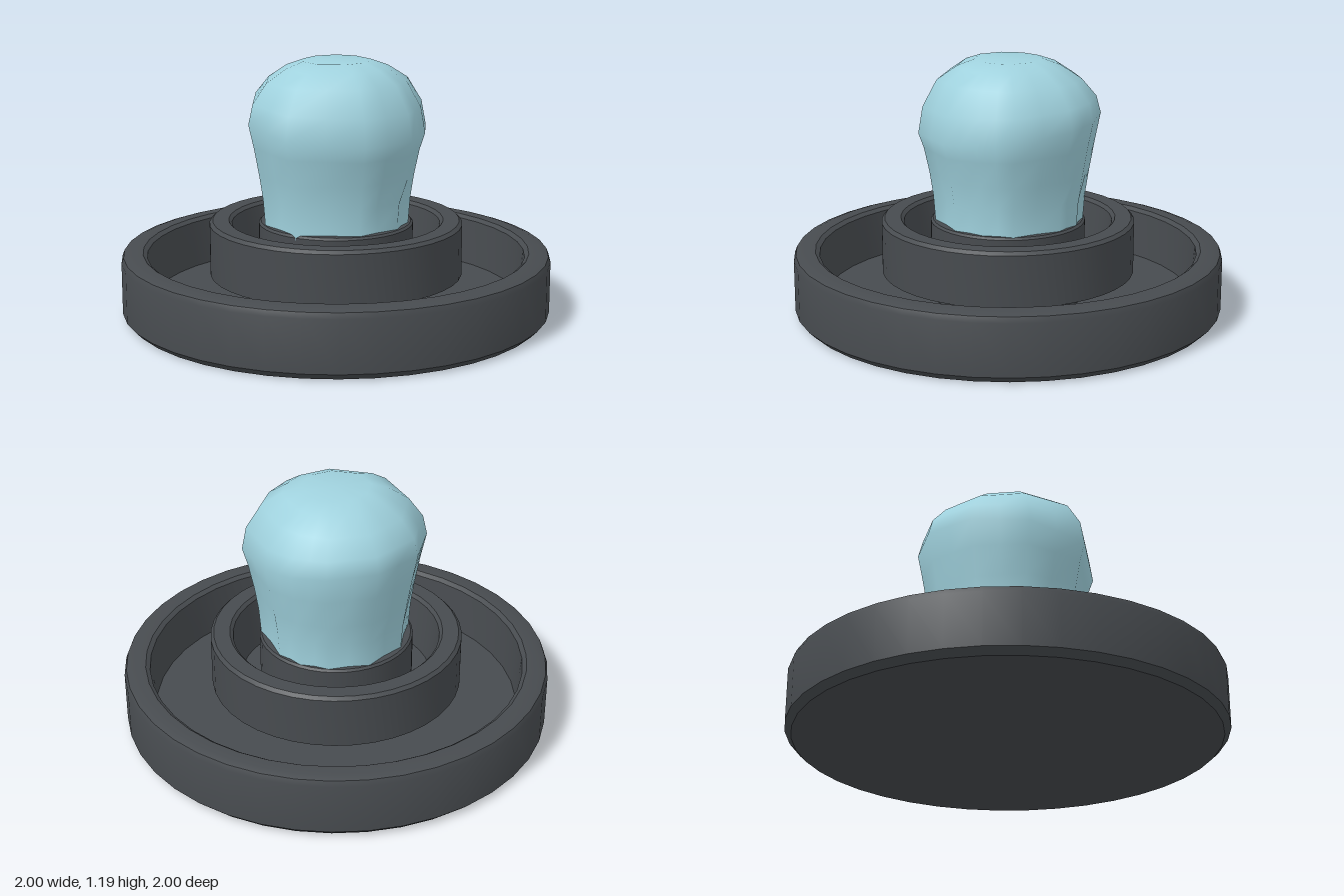
import * as THREE from 'three';
import { toCreasedNormals } from 'three/addons/utils/BufferGeometryUtils.js';

const charcoal = new THREE.MeshStandardMaterial({ color: 0x474b4f });
charcoal.name = 'charcoal';
const paleBlue = new THREE.MeshStandardMaterial({ color: 0xa0d2de });
paleBlue.name = 'paleBlue';

// Turned part from an [r, y] profile running outside-up, then inside-down
function turned(name, profile) {
  const points = profile.map(([r, y]) => new THREE.Vector2(r, y));
  const geometry = toCreasedNormals(new THREE.LatheGeometry(points, 40), 0.6);
  const mesh = new THREE.Mesh(geometry, charcoal);
  mesh.name = name;
  return mesh;
}

// Faceted knob: one irregular outline, scaled and tilted up a stack of rows
function knobGeometry() {
  const corners = [
    [0.39, 0.13], [0.17, 0.4], [-0.12, 0.4], [-0.33, 0.24], [-0.42, 0], [-0.36, -0.22],
    [-0.25, -0.34], [-0.11, -0.4], [0.17, -0.39], [0.3, -0.28], [0.39, -0.13],
  ];
  const outline = [];
  corners.forEach(([x, z], i) => {
    const [nx, nz] = corners[(i + 1) % corners.length];
    outline.push([x, z], [(x + nx) / 2, (z + nz) / 2]);
  });
  // y, scale, tilt along x, inward pull of the flutes
  const rows = [
    [0.2, 0.8, 0, 0], [0.45, 0.83, 0, 0.02], [0.56, 0.85, 0, 0.05], [0.67, 0.89, 0, 0],
    [0.8, 0.95, -0.04, 0], [0.9, 1.01, -0.12, 0], [1.0, 0.96, -0.06, 0], [1.1, 0.8, 0, 0],
    [1.16, 0.58, 0, 0], [1.19, 0.38, 0, 0], [1.19, 0, 0, 0],
  ];
  const n = outline.length;
  const positions = [];
  const index = [];
  rows.forEach(([y, scale, tilt, flute], i) => {
    outline.forEach(([x, z], j) => {
      const s = scale * (j % 2 ? 1 - flute : 1);
      positions.push(x * s, y + tilt * x, z * s);
      if (i === rows.length - 1) return;
      const a = i * n + j;
      const b = i * n + ((j + 1) % n);
      index.push(a, a + n, b);
      if (i < rows.length - 2) index.push(b, a + n, b + n);
    });
  });
  const geometry = new THREE.BufferGeometry();
  geometry.setAttribute('position', new THREE.Float32BufferAttribute(positions, 3));
  geometry.setIndex(index);
  geometry.computeVertexNormals();
  return geometry;
}

export function createModel() {
  const model = new THREE.Group();
  model.name = 'knobOnTray';

  // Deep round tray with a thick lip
  model.add(turned('tray', [
    [0, 0], [0.97, 0], [1, 0.03], [1, 0.27], [0.99, 0.295], [0.96, 0.305],
    [0.9, 0.305], [0.88, 0.29], [0.86, 0.07], [0, 0.07],
  ]));

  // Cup raised above the tray floor, its inner wall tapering down
  model.add(turned('cup', [
    [0.34, 0.19], [0.59, 0.19], [0.59, 0.43], [0.575, 0.445],
    [0.5, 0.445], [0.485, 0.43], [0.45, 0.2], [0.34, 0.2],
  ]));

  // Collar that holds the knob and carries the cup
  model.add(turned('collar', [
    [0.36, 0.07], [0.36, 0.43], [0.35, 0.44], [0.31, 0.44], [0.3, 0.2],
  ]));

  const knob = new THREE.Mesh(knobGeometry(), paleBlue);
  knob.name = 'knob';
  model.add(knob);

  return model;
}
